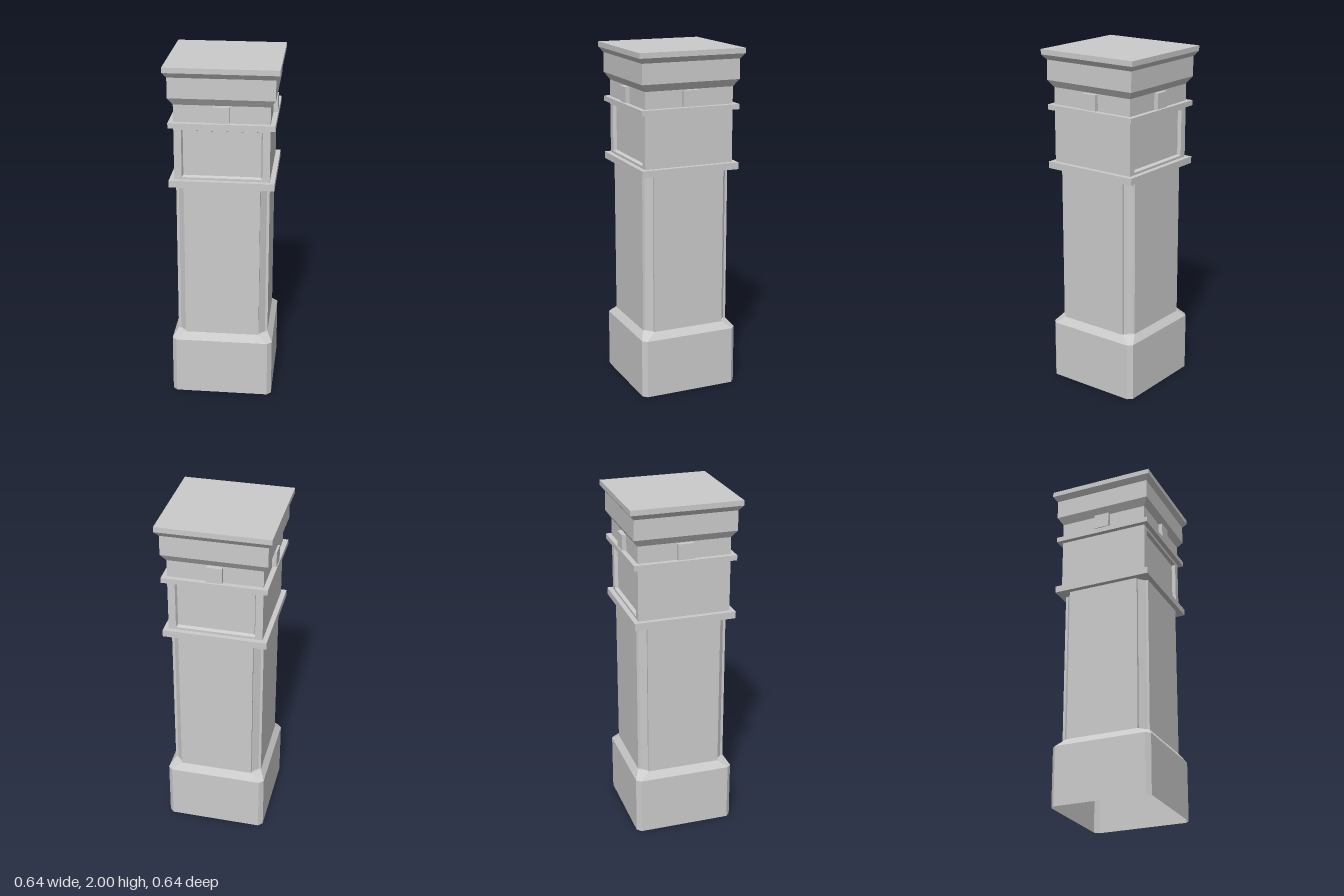
import * as THREE from 'three';

const material = new THREE.MeshStandardMaterial({ color: 0xcccccc, flatShading: true, side: THREE.DoubleSide });

// Joins closed rings of [x, y, z] points into a shell; caps are optional.
function loft(name, rings, capStart = false, capEnd = false) {
  const n = rings[0].length;
  const index = [];
  for (let r = 0; r < rings.length - 1; r++) {
    for (let i = 0; i < n; i++) {
      const j = (i + 1) % n;
      const a = r * n + i, b = r * n + j, c = b + n, d = a + n;
      index.push(a, b, c, a, c, d);
    }
  }
  const last = (rings.length - 1) * n;
  for (let i = 1; i < n - 1; i++) {
    if (capStart) index.push(0, i + 1, i);
    if (capEnd) index.push(last, last + i, last + i + 1);
  }
  const geometry = new THREE.BufferGeometry();
  geometry.setAttribute('position', new THREE.Float32BufferAttribute(rings.flat(2), 3));
  geometry.setIndex(index);
  const flat = geometry.toNonIndexed();
  flat.computeVertexNormals();
  const mesh = new THREE.Mesh(flat, material);
  mesh.name = name;
  return mesh;
}

// Repeats the corner points [x, z] around the four corners at height y.
function ring(y, corner) {
  const points = [];
  for (let k = 0; k < 4; k++) {
    for (const p of corner) {
      let [x, z] = p;
      for (let t = 0; t < k; t++) [x, z] = [z, -x];
      points.push([x, y, z]);
    }
  }
  return points;
}

const square = (y, h) => ring(y, [[h, h]]);

// Half width h, flat up to a, corner stepped in by s before its chamfer.
const chamfered = (y, h, a, s) => ring(y, [[a, h], [a, h - s], [h - s, a], [h, a]]);

// Upright rectangle facing +z.
const rect = (w, y0, y1, z) => [[-w, y0, z], [w, y0, z], [w, y1, z], [-w, y1, z]];

export function createModel() {
  const group = new THREE.Group();

  // Hollow chamfered plinth with sloped shoulder and a small corner ledge
  group.add(loft('plinth', [
    chamfered(0, 0.295, 0.27, 0),
    chamfered(0.345, 0.295, 0.27, 0),
    chamfered(0.387, 0.265, 0.215, 0),
    chamfered(0.387, 0.265, 0.215, 0.015),
  ]));

  // Shaft with stepped, chamfered corners
  group.add(loft('shaft', [
    chamfered(0.387, 0.265, 0.215, 0.015),
    chamfered(1.31, 0.265, 0.215, 0.015),
  ]));

  // Projecting bands below and above the panel block
  group.add(loft('lowerBand', [square(1.31, 0.295), square(1.35, 0.295)], true, true));
  group.add(loft('upperBand', [square(1.655, 0.295), square(1.685, 0.295)], true, true));

  // Panel block: recessed panels front and back, plain sides
  const h = 0.267;
  for (let k = 0; k < 4; k++) {
    const outer = rect(h, 1.35, 1.655, h);
    const rings = k % 2 === 0
      ? [outer, rect(0.225, 1.364, 1.638, h), rect(0.218, 1.371, 1.631, h - 0.02)]
      : [outer];
    const face = loft(k % 2 === 0 ? 'recessedPanel' : 'plainSide', rings, false, true);
    face.rotation.y = k * Math.PI / 2;
    group.add(face);
  }

  // Neck, flared cornice and cap slab
  group.add(loft('cornice', [
    square(1.685, 0.267),
    square(1.783, 0.267),
    square(1.825, 0.295),
    square(1.94, 0.295),
    square(1.97, 0.318),
    square(2, 0.318),
  ], false, true));

  // Small block centred on each side of the neck
  for (let k = 0; k < 4; k++) {
    const pivot = new THREE.Group();
    pivot.name = 'neckBlock';
    pivot.rotation.y = k * Math.PI / 2;
    const block = new THREE.Mesh(new THREE.BoxGeometry(0.09, 0.09, 0.05), material);
    block.name = 'block';
    block.position.set(0, 1.735, 0.267);
    pivot.add(block);
    group.add(pivot);
  }

  return group;
}
